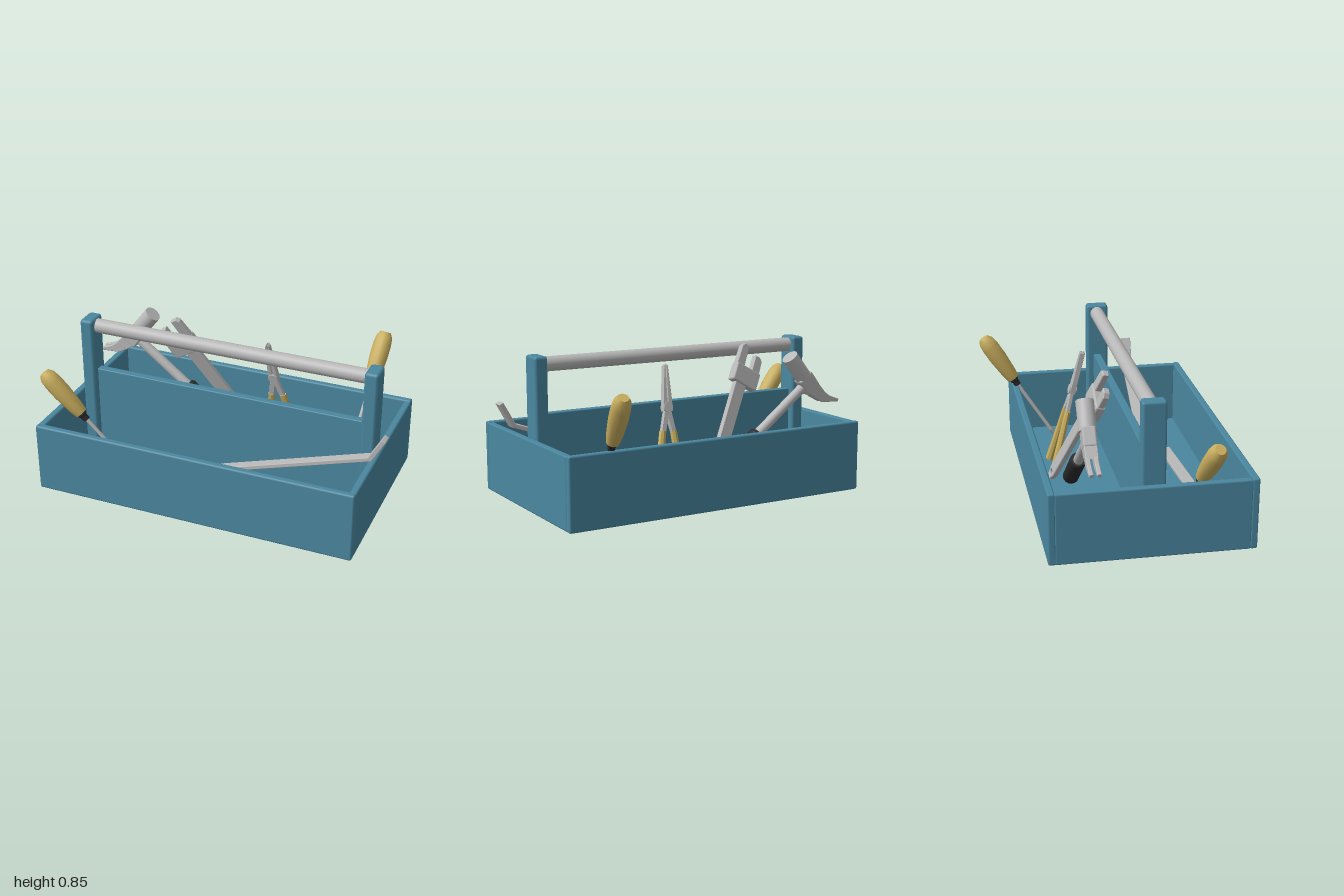
import * as THREE from 'three';
import { RoundedBoxGeometry } from 'three/addons/geometries/RoundedBoxGeometry.js';
import { toCreasedNormals } from 'three/addons/utils/BufferGeometryUtils.js';

const mat = (name, color) => Object.assign(new THREE.MeshStandardMaterial({ color }), { name });
const V = (x, y, z) => new THREE.Vector3(x, y, z);

export function createModel() {
  const model = new THREE.Group();
  model.name = 'toolbox';
  const teal = mat('teal paint', 0x4a879f), steel = mat('steel', 0xb8b8b8);
  const yellow = mat('yellow grip', 0xc9ae5e), black = mat('black rubber', 0x2b2b2b);

  const add = (parent, name, geo, material, x = 0, y = 0, z = 0) => {
    const m = new THREE.Mesh(geo, material);
    m.name = name;
    m.position.set(x, y, z);
    parent.add(m);
    return m;
  };
  // Board with softened edges, given by its limits
  const board = (name, x0, x1, y0, y1, z0, z1, r = 0.01) =>
    add(model, name, new RoundedBoxGeometry(x1 - x0, y1 - y0, z1 - z0, 1, r), teal,
      (x0 + x1) / 2, (y0 + y1) / 2, (z0 + z1) / 2);
  // Group whose y axis runs from a to b and whose z axis is close to face
  const toolGroup = (name, a, b, face = V(0, 0, 1)) => {
    const g = new THREE.Group();
    g.name = name;
    const y = b.clone().sub(a).normalize();
    const x = y.clone().cross(face).normalize();
    g.quaternion.setFromRotationMatrix(new THREE.Matrix4().makeBasis(x, y, x.clone().cross(y)));
    g.position.copy(a);
    model.add(g);
    return g;
  };
  const lathe = (pts, sides) => toCreasedNormals(
    new THREE.LatheGeometry(pts.map(p => new THREE.Vector2(...p)), sides), 0.6);
  // Extruded outline in the local xy plane, centred on z
  const plate = (pts, t, hole, bevel = 0.004) => {
    const s = new THREE.Shape(pts.map(p => new THREE.Vector2(...p)));
    if (hole) s.holes.push(new THREE.Path().absarc(hole[0], hole[1], hole[2], 0, Math.PI * 2, true));
    const d = t - 2 * bevel;
    return new THREE.ExtrudeGeometry(s, { depth: d, bevelEnabled: true, bevelSize: bevel,
      bevelOffset: -bevel, bevelThickness: bevel, bevelSegments: 1, curveSegments: 10 }).translate(0, 0, -d / 2);
  };

  // Tray
  board('floor', -0.895, 0.925, 0, 0.03, -0.445, 0.635);
  board('frontWall', -0.905, 0.935, 0.004, 0.405, 0.605, 0.645);
  board('backWall', -0.905, 0.935, 0.004, 0.405, -0.455, -0.415);
  for (const [name, x] of [['rightWall', -0.905], ['leftWall', 0.895]]) {
    board(name, x, x + 0.04, 0.004, 0.402, -0.42, 0.61);
  }
  // Divider, posts and carrying bar
  board('divider', -0.82, 0.84, 0.02, 0.53, 0.072, 0.118, 0.006);
  board('rightPost', -0.862, -0.785, 0.02, 0.845, 0.032, 0.162, 0.016);
  board('leftPost', 0.812, 0.89, 0.02, 0.845, 0.032, 0.162, 0.016);
  add(model, 'carryingBar', new THREE.CylinderGeometry(0.041, 0.041, 1.62, 24), steel, 0.013, 0.795, 0.093)
    .rotation.z = Math.PI / 2;

  // Screwdrivers, from the handle end to the tip
  const screwdriver = (name, end, tip) => {
    const g = toolGroup(name, end, tip), len = end.distanceTo(tip);
    add(g, 'handle', lathe([[0, 0], [0.03, 0], [0.046, 0.025], [0.052, 0.07], [0.052, 0.15],
      [0.044, 0.26], [0.036, 0.31], [0, 0.31]].reverse().map(([r, y]) => [r, y]).reverse(), 14), yellow);
    add(g, 'collar', lathe([[0, 0.3], [0.026, 0.3], [0.026, 0.325], [0.02, 0.335], [0.02, 0.36], [0, 0.36]], 14), black);
    add(g, 'shaft', new THREE.CylinderGeometry(0.011, 0.011, len - 0.39, 12), steel, 0, 0.35 + (len - 0.39) / 2, 0);
    add(g, 'blade', new THREE.CylinderGeometry(0.006, 0.012, 0.05, 4), steel, 0, len - 0.025, 0);
  };
  screwdriver('frontScrewdriver', V(-0.965, 0.61, 0.41), V(-0.485, 0.04, 0.322));
  screwdriver('backScrewdriver', V(0.708, 0.71, -0.618), V(0.645, 0.08, -0.205));

  // Hammer: local y runs down the handle, local x towards the striking face
  const hammer = toolGroup('hammer', V(-0.71, 0.61, -0.213), V(-0.07, 0.11, -0.213), V(0, 0, -1));
  add(hammer, 'headBlock', new RoundedBoxGeometry(0.11, 0.1, 0.075, 1, 0.012), steel);
  add(hammer, 'strikingHead', toCreasedNormals(new THREE.CylinderGeometry(0.048, 0.048, 0.165, 20), 0.6), steel, 0.12, 0, 0)
    .rotation.z = Math.PI / 2;
  add(hammer, 'shaft', new THREE.CylinderGeometry(0.028, 0.028, 0.46, 16), steel, 0, 0.23, 0);
  add(hammer, 'grip', lathe([[0, 0.43], [0.038, 0.43], [0.046, 0.445], [0.046, 0.795], [0.036, 0.812], [0, 0.812]], 16), black);
  add(hammer, 'clawRoot', plate([[-0.03, -0.045], [-0.03, 0.045], [-0.1, 0.022], [-0.12, -0.05]], 0.07), steel);
  for (const z of [-0.021, 0.021]) {
    add(hammer, 'clawProng', plate([[-0.09, -0.045], [-0.09, 0.025], [-0.15, 0.0], [-0.225, -0.085],
      [-0.215, -0.1], [-0.15, -0.06]].reverse(), 0.024), steel, 0, 0, z);
  }

  // Adjustable wrench: origin at the head, local y towards the jaws
  const wrench = toolGroup('wrench', V(-0.34, 0.66, -0.115), V(-0.69, 1.26, 0.085));
  add(wrench, 'head', new RoundedBoxGeometry(0.18, 0.11, 0.055, 1, 0.01), steel);
  add(wrench, 'fixedJaw', plate([[0.03, 0.04], [0.088, 0.04], [0.085, 0.16], [0.07, 0.18], [0.035, 0.18]], 0.036), steel);
  add(wrench, 'slidingJaw', plate([[-0.085, 0.04], [-0.025, 0.04], [-0.025, 0.15], [-0.06, 0.15], [-0.08, 0.13]], 0.036), steel);
  add(wrench, 'handle', plate([[-0.02, -0.04], [-0.018, -0.66], [0, -0.71], [0.04, -0.71], [0.058, -0.66], [0.06, -0.04]],
    0.032, [0.02, -0.67, 0.018]), steel);
  add(wrench, 'adjuster', new THREE.CylinderGeometry(0.018, 0.018, 0.05, 12), steel, -0.01, 0.025, 0.014)
    .rotation.z = Math.PI / 2;

  // Pliers: origin at the pivot, local y towards the tip
  const pliers = toolGroup('pliers', V(0.195, 0.54, -0.158), V(0.175, 0.77, -0.1));
  add(pliers, 'pivot', new THREE.CylinderGeometry(0.028, 0.028, 0.042, 16), steel).rotation.x = Math.PI / 2;
  for (const s of [-1, 1]) {
    const jaw = [[s * 0.002, -0.02], [s * 0.03, -0.02], [s * 0.028, 0.04], [s * 0.012, 0.23], [s * 0.002, 0.24]];
    add(pliers, 'jaw', plate(s < 0 ? jaw.reverse() : jaw, 0.03, null, 0.002), steel);
    const arm = [[-s * 0.02, 0.02], [s * 0.015, 0.02], [s * 0.052, -0.15], [s * 0.02, -0.15]];
    add(pliers, 'arm', plate(s > 0 ? arm.reverse() : arm, 0.024), steel);
    const grip = add(pliers, 'grip', toCreasedNormals(new THREE.CylinderGeometry(0.021, 0.029, 0.38, 8), 0.3), yellow,
      s * 0.062, -0.315, 0);
    grip.rotation.z = s * 0.15;
    grip.scale.z = 0.8;
  }

  // Pry bar leaning on the left wall, with a bent end
  const bar = toolGroup('pryBar', V(-0.1, 0.085, 0.245), V(0.92, 0.44, 0.3), V(0, 1, 0));
  const barLength = Math.hypot(1.02, 0.355, 0.055);
  add(bar, 'shank', new RoundedBoxGeometry(0.06, barLength, 0.024, 1, 0.004), steel, 0, barLength / 2, 0);
  const bend = toolGroup('pryBarBend', V(0.912, 0.433, 0.3), V(0.985, 0.565, 0.304), V(-1, 0.5, 0));
  add(bend, 'bentEnd', new RoundedBoxGeometry(0.064, 0.155, 0.026, 1, 0.004), steel, 0, 0.075, 0);

  // File lying on the floor
  const file = toolGroup('file', V(-0.43, 0.05, 0.478), V(0.63, 0.09, 0.39), V(0, 1, 0));
  add(file, 'blade', plate([[-0.035, 0], [0.035, 0], [0.033, 0.735], [-0.033, 0.735]], 0.024), steel, 0, 0, 0);
  add(file, 'tang', new THREE.CylinderGeometry(0.011, 0.011, 0.08, 8), steel, 0, 0.765, 0);
  add(file, 'handle', lathe([[0, 0.785], [0.018, 0.785], [0.034, 0.88], [0.037, 1.03], [0.03, 1.064], [0, 1.064]], 8), yellow);
  return model;
}
